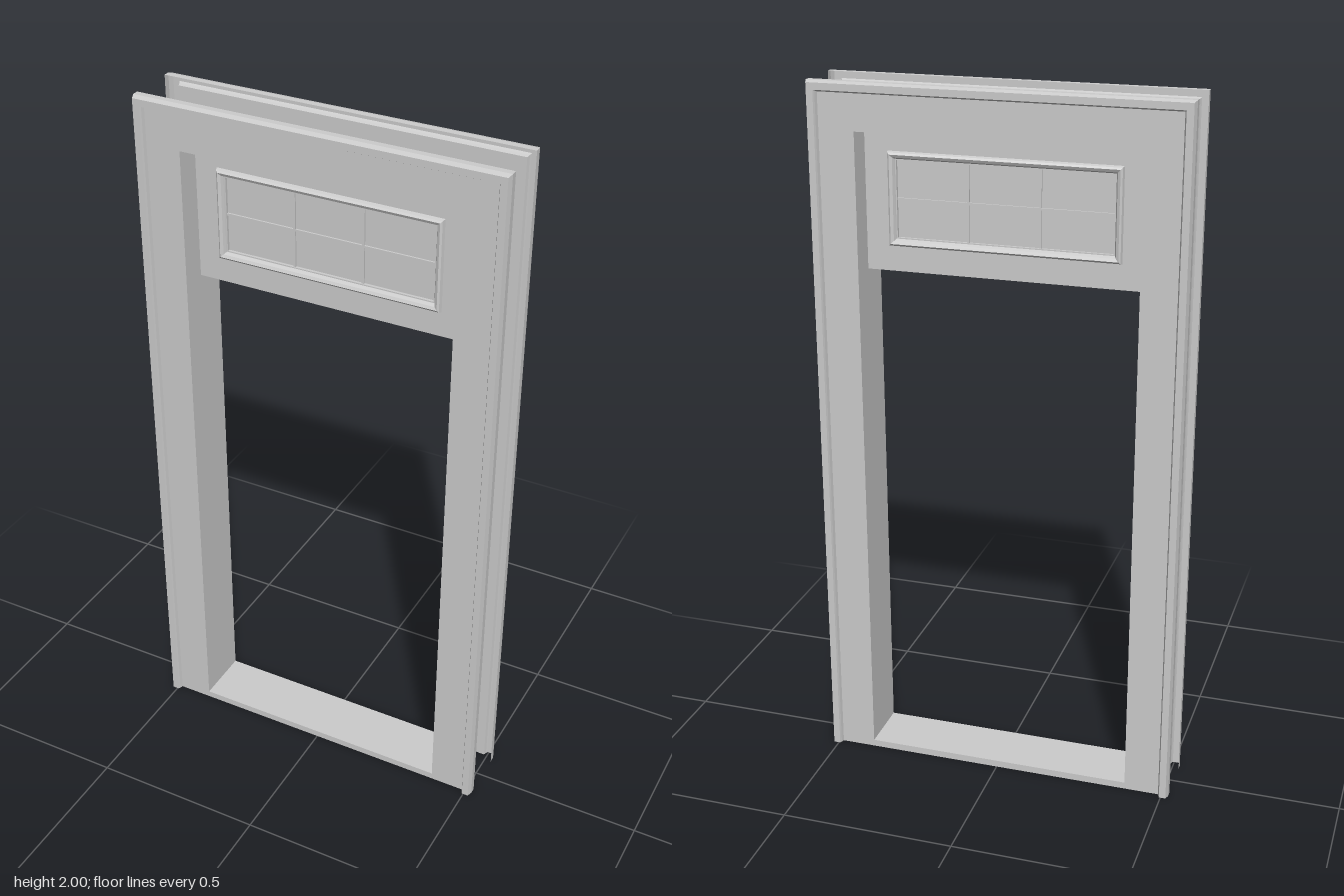
import * as THREE from 'three';

const material = new THREE.MeshStandardMaterial({ color: 0xcccccc, flatShading: true, side: THREE.DoubleSide });

function add(parent, name, geometry, x = 0, y = 0, z = 0) {
  const mesh = new THREE.Mesh(geometry, material);
  mesh.name = name;
  mesh.position.set(x, y, z);
  parent.add(mesh);
  return mesh;
}

// Mitred moulding: profile of [inset, z] points swept around a rectangle,
// either closed or open at the bottom.
function moulding(halfWidth, bottom, top, profile, closed) {
  const positions = [], indices = [], n = profile.length;
  for (let i = 0; i < 4; i++) {
    const sx = i < 2 ? -1 : 1;
    const isTop = i === 1 || i === 2;
    for (const [inset, z] of profile) {
      const y = isTop ? top - inset : bottom + (closed ? inset : 0);
      positions.push(sx * (halfWidth - inset), y, z);
    }
  }
  for (let i = 0; i < (closed ? 4 : 3); i++) {
    for (let j = 0; j < n - 1; j++) {
      const a = i * n + j, b = ((i + 1) % 4) * n + j;
      indices.push(a, a + 1, b + 1, a, b + 1, b);
    }
  }
  const geometry = new THREE.BufferGeometry();
  geometry.setAttribute('position', new THREE.Float32BufferAttribute(positions, 3));
  geometry.setIndex(indices);
  const flat = geometry.toNonIndexed();
  flat.computeVertexNormals();
  return flat;
}

export function createModel() {
  const model = new THREE.Group();
  model.name = 'doorFrame';
  const open = 0.39, head = 1.87, sill = 0.02, face = 0.083;

  // Casings, window trim and glazing bars, same on both sides of the wall
  for (const side of ['front', 'back']) {
    const group = new THREE.Group();
    group.name = side + 'Side';
    if (side === 'back') group.rotation.y = Math.PI;
    model.add(group);

    // Flat casing with a raised outer rim, hollow behind
    const casing = [[0, 0.065], [0, 0.083], [0.005, 0.098], [0.024, 0.098], [0.027, 0.092], [0.03, face], [0.13, face]];
    add(group, side + 'Casing', moulding(0.52, 0, 2, casing, false));
    add(group, side + 'SillLip', new THREE.PlaneGeometry(2 * open, sill), 0, sill / 2, face);

    // Raised trim sloping in to the glass
    const trim = [[0, 0.01], [0.003, 0.02], [0.008, 0.024], [0.016, 0.02], [0.02, 0.012], [0.024, 0.002]];
    add(group, side + 'WindowTrim', moulding(0.325, 1.55, 1.81, trim, true));
    for (const x of [-0.1, 0.1]) {
      add(group, side + 'VerticalBar', new THREE.BoxGeometry(0.006, 0.212, 0.006), x, 1.68, 0.004);
    }
    add(group, side + 'HorizontalBar', new THREE.BoxGeometry(0.602, 0.006, 0.006), 0, 1.68, 0.004);
  }

  // Lining of the opening
  for (const s of [-1, 1]) {
    const jamb = add(model, s > 0 ? 'leftJamb' : 'rightJamb',
      new THREE.PlaneGeometry(2 * face, head - sill), s * open, (head + sill) / 2, 0);
    jamb.rotation.y = -s * Math.PI / 2;
  }
  add(model, 'headJamb', new THREE.PlaneGeometry(2 * open, 2 * face), 0, head, 0).rotation.x = Math.PI / 2;
  add(model, 'sill', new THREE.PlaneGeometry(2 * open, 2 * face), 0, sill, 0).rotation.x = -Math.PI / 2;

  // Transom panel with a window hole, and its glass
  const shape = new THREE.Shape([[-open, 1.48], [open, 1.48], [open, head], [-open, head]].map(p => new THREE.Vector2(...p)));
  shape.holes.push(new THREE.Path([[-0.301, 1.574], [-0.301, 1.786], [0.301, 1.786], [0.301, 1.574]].map(p => new THREE.Vector2(...p))));
  add(model, 'transomPanel', new THREE.ExtrudeGeometry(shape, { depth: 0.02, bevelEnabled: false }), 0, 0, -0.01);
  add(model, 'transomGlass', new THREE.BoxGeometry(0.602, 0.212, 0.004), 0, 1.68, 0);

  return model;
}
